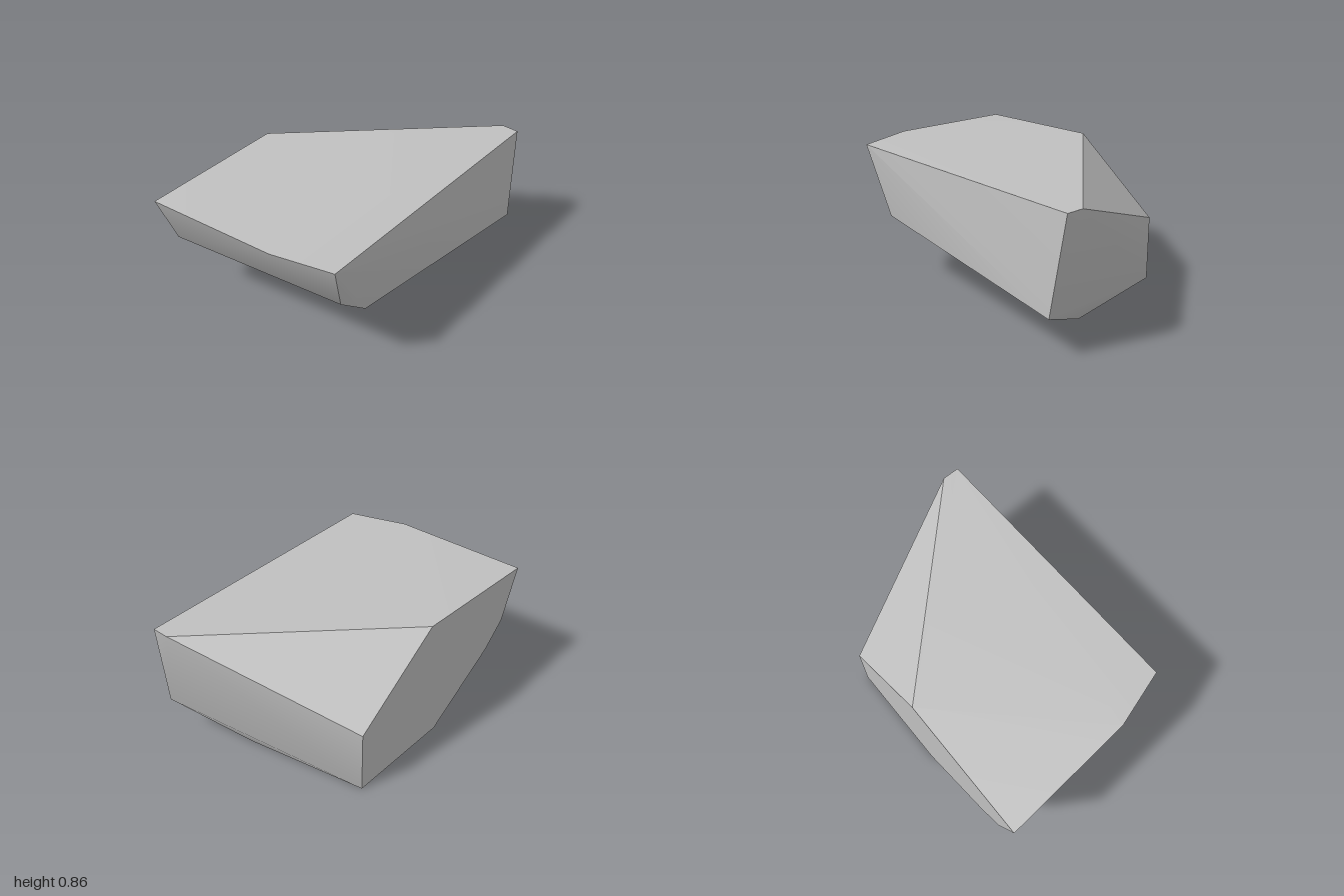
import * as THREE from 'three';
import { ConvexGeometry } from 'three/addons/geometries/ConvexGeometry.js';
import { toCreasedNormals } from 'three/addons/utils/BufferGeometryUtils.js';

export function createModel() {
  const group = new THREE.Group();
  group.name = 'rock';
  const stone = new THREE.MeshStandardMaterial({ color: 0xc0c0c0 });
  stone.name = 'stone grey';

  // Flat cut side on the right: outline as [y, z] at x = -0.62
  const cutSide = [
    [0.822, 1], [0.48, 0.87], [0.33, 0.71], [0, 0.18],
    [0, -0.535], [0.42, -0.535], [0.855, 0.08],
  ].map(([y, z]) => [-0.62, y, z]);

  // Remaining corners
  const corners = [
    // top front and back edges
    [0.25, 0.855, 0.925], [0.62, 0.85, 0.81], [0.57, 0.855, -1], [0.46, 0.855, -1],
    // left side and its front chamfer
    [0.57, 0.535, 0.71], [0.62, 0.43, 0.56], [0.62, 0.25, -0.925],
    // underside
    [0.16, 0.015, -0.69], [-0.12, 0, -0.55], [-0.43, 0, 0.12],
  ];

  // Convex block with soft shading across shallow edges only
  const points = [...cutSide, ...corners].map((p) => new THREE.Vector3(...p));
  const block = new THREE.Mesh(toCreasedNormals(new ConvexGeometry(points), 0.6), stone);
  block.name = 'rockBlock';
  group.add(block);
  return group;
}
